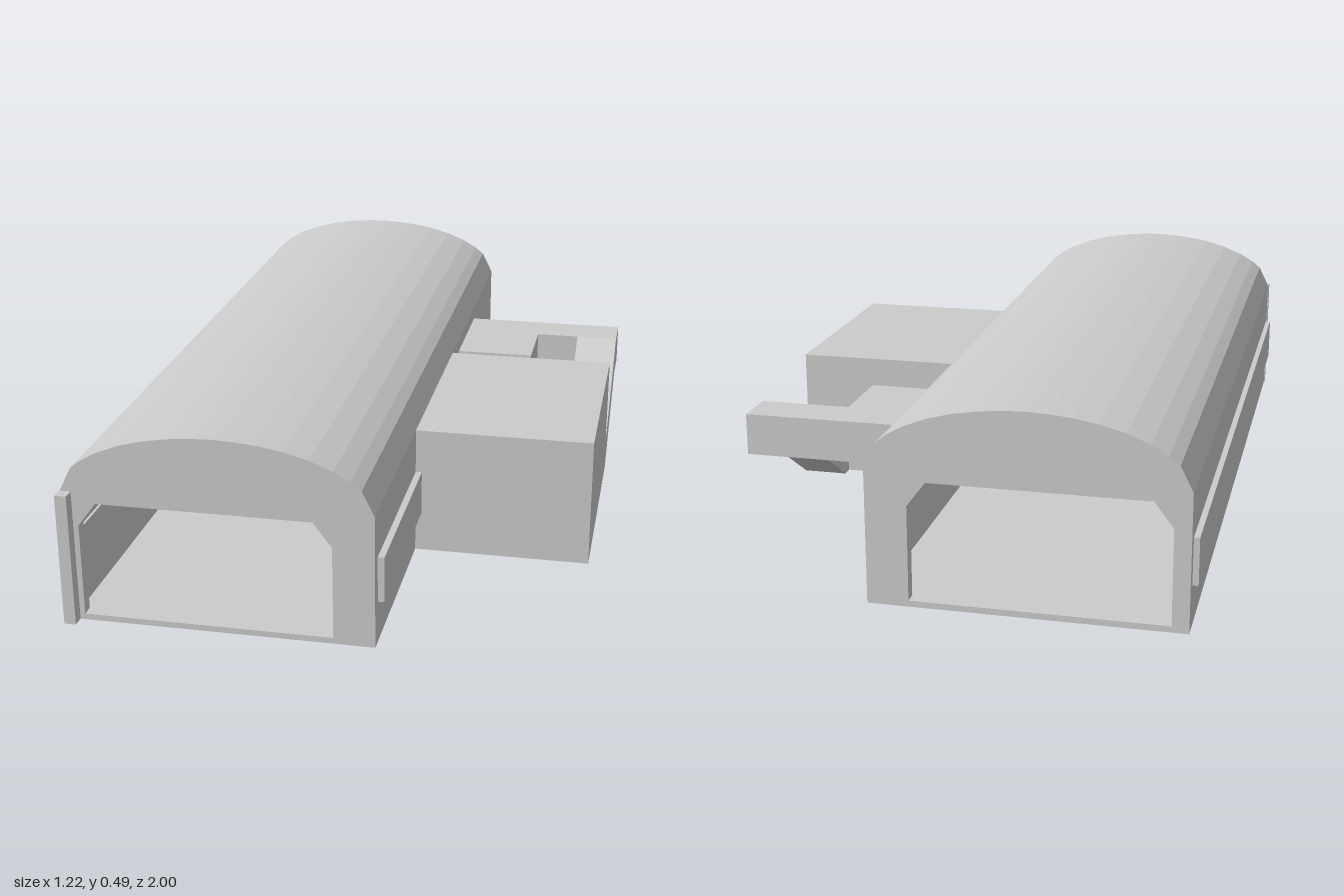
import * as THREE from 'three';

const material = new THREE.MeshStandardMaterial({ color: 0xcccccc, flatShading: true });
const CX = -0.22; // centre line of the hall

// Box given by its limits on each axis
function box(name, [x0, x1], [y0, y1], [z0, z1]) {
  const mesh = new THREE.Mesh(new THREE.BoxGeometry(x1 - x0, y1 - y0, z1 - z0), material);
  mesh.name = name;
  mesh.position.set((x0 + x1) / 2, (y0 + y1) / 2, (z0 + z1) / 2);
  return mesh;
}

// Shape in the xy plane pulled from z0 to z1
function slab(name, shape, z0, z1) {
  const geometry = new THREE.ExtrudeGeometry(shape, { depth: z1 - z0, bevelEnabled: false });
  const mesh = new THREE.Mesh(geometry, material);
  mesh.name = name;
  mesh.position.z = z0;
  return mesh;
}

const toShape = (pts, Type = THREE.Shape) => new Type(pts.map(([x, y]) => new THREE.Vector2(x, y)));

// Half of the vaulted outline, as distance from the centre line and height
const halfVault = [
  [0.375, 0], [0.375, 0.335], [0.345, 0.395], [0.32, 0.415], [0.28, 0.438], [0.225, 0.46],
  [0.165, 0.476], [0.105, 0.486], [0.05, 0.491],
];
const vault = [
  ...halfVault.map(([d, y]) => [CX + d, y]),
  [CX, 0.493],
  ...halfVault.slice().reverse().map(([d, y]) => [CX - d, y]),
];

export function createModel() {
  const group = new THREE.Group();
  group.name = 'hangar';

  // Hollow vaulted hall with a thin floor
  const hall = toShape(vault);
  const inner = vault.map(([x, y]) => [CX + (x - CX) * 0.945, y === 0 ? 0.015 : y - 0.022]);
  hall.holes.push(toShape(inner, THREE.Path));
  group.add(slab('hallShell', hall, -0.97, 0.94));

  // End walls, each with a chamfered doorway
  const doorway = [
    [-0.555, 0.015], [0.055, 0.015], [0.055, 0.248], [0.01, 0.308], [-0.51, 0.308], [-0.555, 0.248],
  ];
  for (const [name, z0, z1] of [['frontWall', 0.94, 0.97], ['backWall', -1, -0.97]]) {
    const wall = toShape(vault);
    wall.holes.push(toShape(doorway, THREE.Path));
    group.add(slab(name, wall, z0, z1));
  }

  // Door post and long window strips let through the side walls
  group.add(box('doorPost', [-0.597, -0.568], [0, 0.335], [0.97, 1]));
  group.add(box('rightWindowStrip', [-0.609, -0.568], [0.105, 0.22], [-0.97, 0.94]));
  group.add(box('leftWindowStrip', [0.128, 0.171], [0.105, 0.22], [0.44, 0.94]));

  // Side annex
  group.add(box('annex', [0.155, 0.607], [0, 0.335], [-0.157, 0.447]));

  // Raised walkway: landing beside the hall, cross arm, sloping ramp to the annex
  group.add(box('walkwayLanding', [0.155, 0.37], [0.19, 0.298], [-0.48, -0.28]));
  group.add(box('walkwayArm', [0.155, 0.607], [0.19, 0.298], [-0.595, -0.48]));
  const ramp = slab('walkwayRamp', toShape([
    [0.157, 0], [0.19, 0], [0.48, 0.19], [0.48, 0.298], [0.185, 0.103], [0.157, 0.103],
  ]), 0, 0.117);
  // the profile runs towards the back, the width towards the left
  ramp.rotation.y = Math.PI / 2;
  ramp.position.set(0.49, 0, 0);
  group.add(ramp);

  return group;
}
